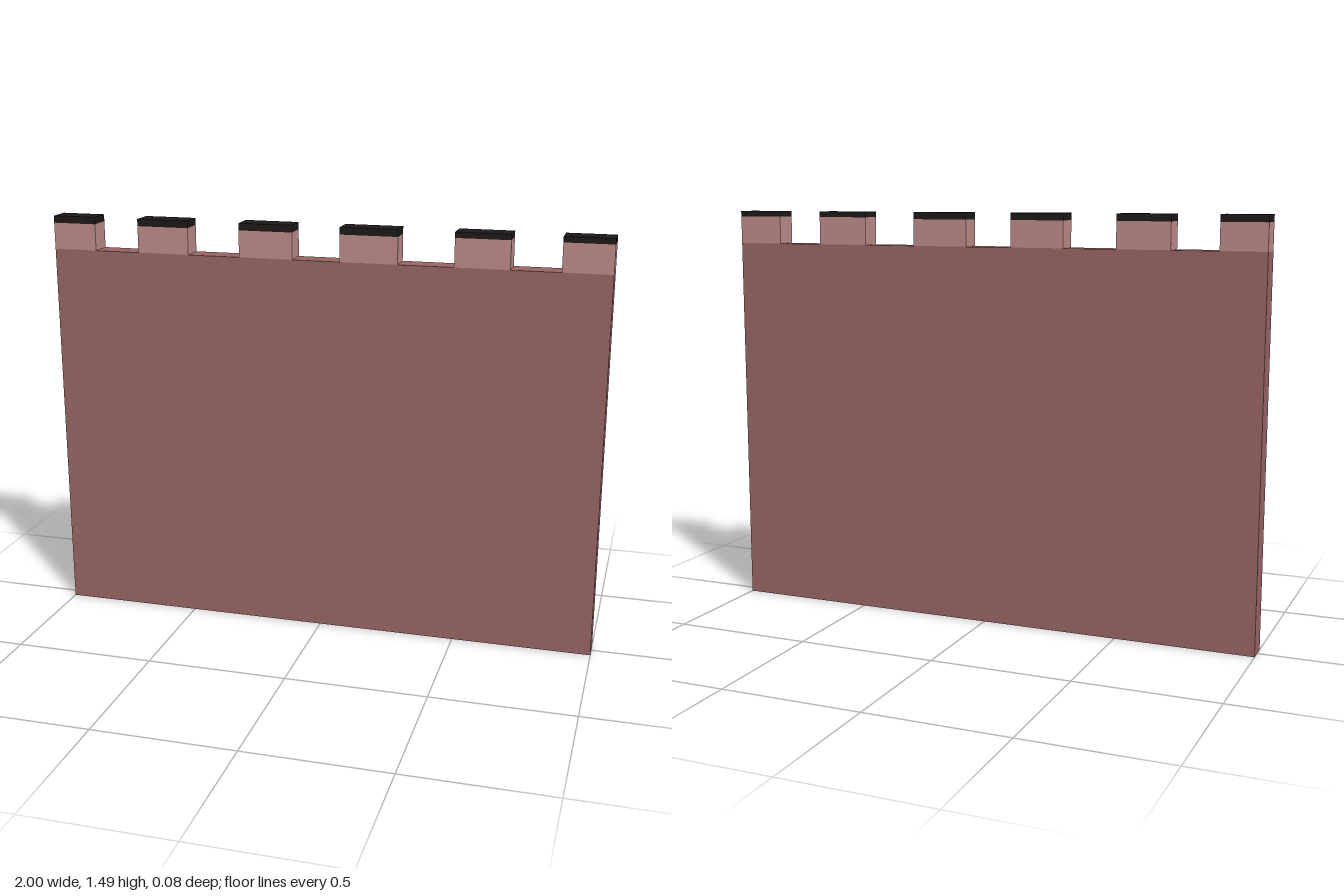
import * as THREE from 'three';

const DEPTH = 0.083;
const WALL_TOP = 1.37;
const TOP = 1.49;

// Box spanning x0..x1 and y0..y1 over the full wall thickness
function block(name, x0, x1, y0, y1, material) {
  const mesh = new THREE.Mesh(new THREE.BoxGeometry(x1 - x0, y1 - y0, DEPTH), material);
  mesh.position.set((x0 + x1) / 2, (y0 + y1) / 2, 0);
  mesh.name = name;
  return mesh;
}

export function createModel() {
  const model = new THREE.Group();
  model.name = 'battlementWall';

  const wallMaterial = new THREE.MeshStandardMaterial({ color: 0x996664 });
  const merlonMaterial = new THREE.MeshStandardMaterial({ color: 0xbd8c8a });
  const capMaterial = new THREE.MeshStandardMaterial({ color: 0x1e1919 });

  // Main wall slab
  model.add(block('wall', -1, 1, 0, WALL_TOP, wallMaterial));

  // Merlons with dark caps: left edge, right edge, underside of cap
  const merlons = [
    [-1, -0.84, 1.465],
    [-0.675, -0.485, 1.465],
    [-0.295, -0.1, 1.465],
    [0.07, 0.275, 1.465],
    [0.47, 0.66, 1.47],
    [0.83, 1, 1.47],
  ];
  merlons.forEach(([x0, x1, capBase], i) => {
    const merlon = new THREE.Group();
    merlon.name = `merlon${i + 1}`;
    merlon.add(
      block('merlonBlock', x0, x1, WALL_TOP, capBase, merlonMaterial),
      block('merlonCap', x0, x1, capBase, TOP, capMaterial),
    );
    model.add(merlon);
  });

  return model;
}
